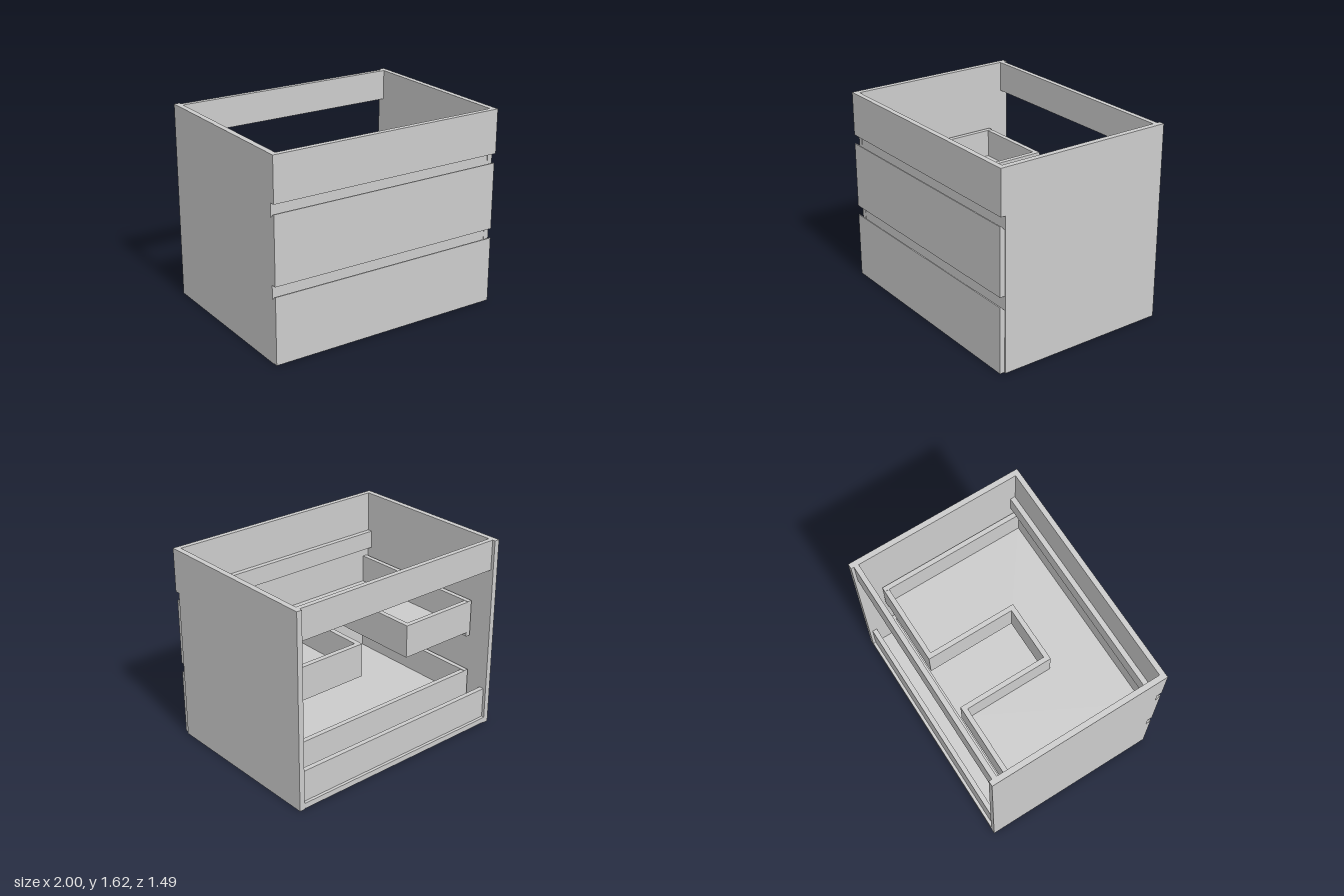
import * as THREE from 'three';

const material = new THREE.MeshStandardMaterial({ color: 0xcccccc, flatShading: true });

export function createModel() {
  const cabinet = new THREE.Group();
  cabinet.name = 'drawerCabinet';

  // board given by its extents on each axis
  function board(parent, name, [x0, x1], [y0, y1], [z0, z1]) {
    const mesh = new THREE.Mesh(new THREE.BoxGeometry(x1 - x0, y1 - y0, z1 - z0), material);
    mesh.position.set((x0 + x1) / 2, (y0 + y1) / 2, (z0 + z1) / 2);
    mesh.name = name;
    parent.add(mesh);
  }
  // the same board on both sides
  function pair(parent, name, [x0, x1], y, z) {
    board(parent, name + 'Left', [x0, x1], y, z);
    board(parent, name + 'Right', [-x1, -x0], y, z);
  }

  const H = 1.615, IN = 0.955, BACK = -0.745, FACE = 0.703, FRONT = 0.745;

  // carcass
  pair(cabinet, 'sidePanel', [IN, 1], [0, H], [BACK, FACE]);
  board(cabinet, 'bottomPanel', [-IN, IN], [0.005, 0.05], [BACK, FACE]);
  board(cabinet, 'backRailTop', [-IN, IN], [1.365, H], [-0.72, -0.68]);
  board(cabinet, 'backRailBottom', [-IN, IN], [0.05, 0.31], [-0.72, -0.68]);
  board(cabinet, 'gripRailUpper', [-IN, IN], [1.13, 1.28], [0.658, 0.7]);
  board(cabinet, 'gripRailLower', [-IN, IN], [0.5, 0.655], [0.658, 0.7]);
  board(cabinet, 'fixedFront', [-1, 1], [1.255, H], [FACE, FRONT]);

  // drawer front with a finger bevel along its upper back edge
  function drawerFront(parent, y0, y1) {
    const profile = new THREE.Shape([
      [FACE, y0], [FRONT, y0], [FRONT, y1], [FRONT - 0.01, y1], [FACE, y1 - 0.035],
    ].map(([z, y]) => new THREE.Vector2(-z, y)));
    const geometry = new THREE.ExtrudeGeometry(profile, { depth: 1.99, bevelEnabled: false });
    geometry.rotateY(Math.PI / 2).translate(-1, 0, 0);
    const mesh = new THREE.Mesh(geometry, material);
    mesh.name = 'drawerFront';
    parent.add(mesh);
  }

  // drawer box, optionally with a U-shaped cut-out at the back for pipes
  function drawer(name, frontY, base, cutOut) {
    const group = new THREE.Group();
    group.name = name;
    cabinet.add(group);
    drawerFront(group, ...frontY);

    const top = base + 0.31, floor = base + 0.035, floorTop = base + 0.075;
    const wallY = [floorTop, top - 0.003];
    pair(group, 'drawerSide', [0.9, 0.94], [base, top], [-0.55, FACE]);

    if (!cutOut) {
      board(group, 'drawerFloor', [-0.9, 0.9], [floor, floorTop], [-0.55, FACE]);
      board(group, 'drawerBack', [-0.9, 0.9], wallY, [-0.55, -0.51]);
      return;
    }
    // notched floor, drawn in plan
    const plan = new THREE.Shape([
      [-0.9, FACE], [0.9, FACE], [0.9, -0.55], [0.23, -0.55],
      [0.23, 0.205], [-0.23, 0.205], [-0.23, -0.55], [-0.9, -0.55],
    ].map(([x, z]) => new THREE.Vector2(x, -z)));
    const geometry = new THREE.ExtrudeGeometry(plan, { depth: floorTop - floor, bevelEnabled: false });
    geometry.rotateX(-Math.PI / 2).translate(0, floor, 0);
    const mesh = new THREE.Mesh(geometry, material);
    mesh.name = 'drawerFloor';
    group.add(mesh);

    pair(group, 'drawerBack', [0.23, 0.9], wallY, [-0.55, -0.51]);
    pair(group, 'cutOutSide', [0.23, 0.27], wallY, [-0.51, 0.245]);
    board(group, 'cutOutFront', [-0.23, 0.23], wallY, [0.205, 0.245]);
  }

  drawer('upperDrawer', [0.63, 1.18], 0.74, true);
  drawer('lowerDrawer', [0.005, 0.55], 0.117, false);

  return cabinet;
}
